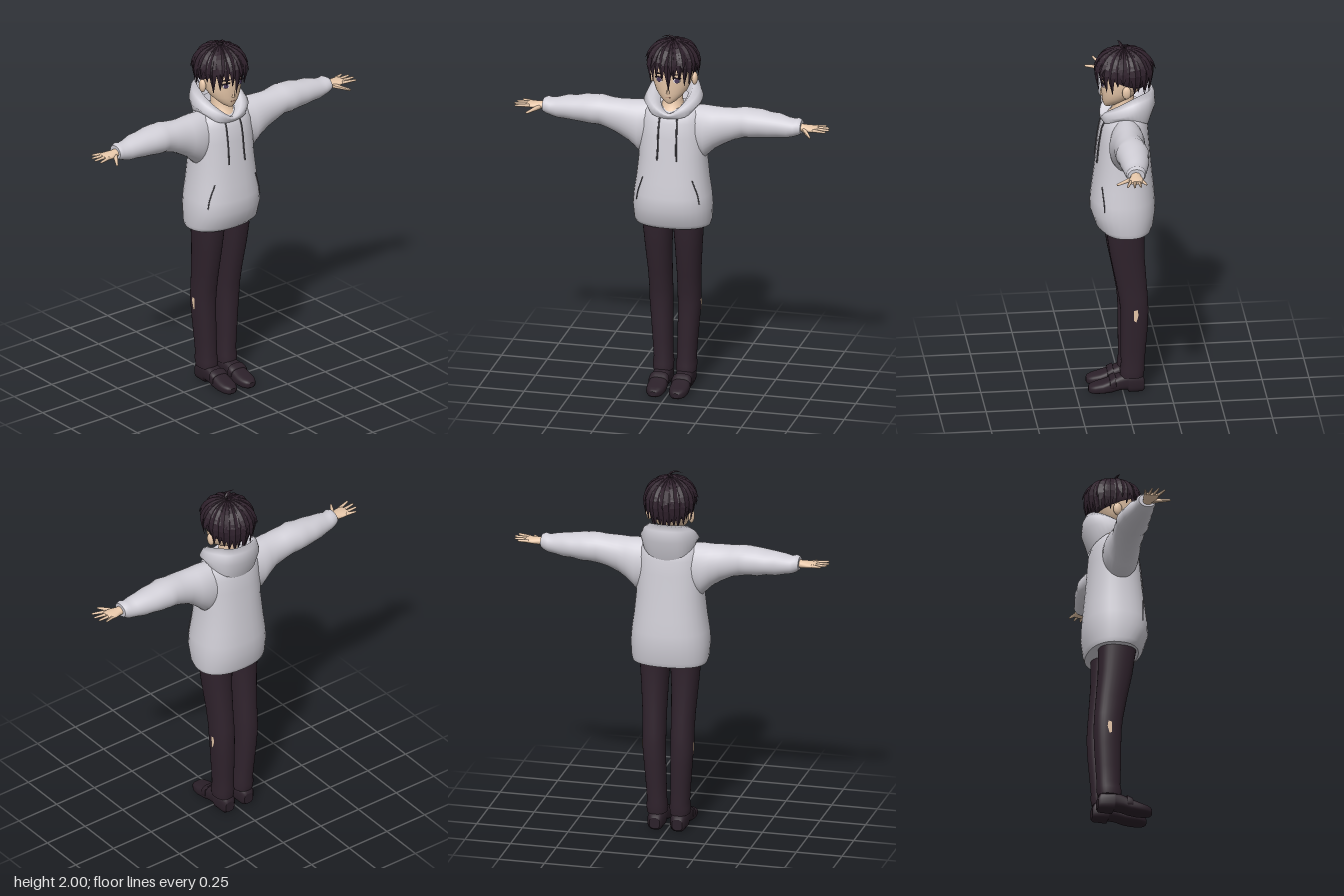
import * as THREE from 'three';

const mat = (name, color, side = THREE.FrontSide) => {
  const m = new THREE.MeshStandardMaterial({ color, side });
  m.name = name;
  return m;
};
const V = (x, y, z) => new THREE.Vector3(x, y, z);
const N = 32;

// Rounded cross-section coordinates; power 2 is an ellipse, higher is boxier
const round = (i, power, n = N) => [Math.cos, Math.sin].map((f) => {
  const c = f((i / n) * Math.PI * 2);
  return Math.sign(c) * Math.abs(c) ** (2 / power);
});
const ring = (fn, power = 2) => Array.from({ length: N }, (_, i) => fn(...round(i, power)));
const mid = (a, b) => (a + b) / 2;
const ringY = ([y, x0, x1, zf, zb], p = 2.3) =>
  ring((a, b) => V(mid(x0, x1) + a * (x1 - x0) / 2, y, mid(zf, zb) + b * (zf - zb) / 2), p);
const ringX = ([x, y0, y1, z0, z1], s = 1, ripple = 0) => ring((a, b) => {
  const k = 1 + ripple * Math.sin(x * 70 + a * 3);
  return V(s * x, mid(y0, y1) + k * b * (y1 - y0) / 2, mid(z0, z1) + k * a * (z1 - z0) / 2);
});
const ringZ = ([z, w, y0, y1], cx) =>
  ring((a, b) => V(cx + a * w, mid(y0, y1) + b * (y1 - y0) / 2, z), 2.8);

// Skin over a list of rings, with caps, always facing outward
function loft(rings, { caps = true, flat = false } = {}) {
  const n = rings[0].length, pts = rings.flat(), idx = [];
  for (let r = 0; r < rings.length - 1; r++) for (let i = 0; i < n; i++) {
    const a = r * n + i, b = r * n + (i + 1) % n;
    idx.push(a, b, a + n, b, b + n, a + n);
  }
  if (caps) [0, rings.length - 1].forEach((r) => {
    const c = rings[r].reduce((s, p) => s.add(p), V(0, 0, 0)).divideScalar(n);
    const base = pts.length;
    pts.push(...rings[r], c);
    for (let i = 0; i < n; i++) {
      const j = (i + 1) % n;
      idx.push(...(r ? [base + i, base + j, base + n] : [base + j, base + i, base + n]));
    }
  });
  let volume = 0;
  for (let i = 0; i < idx.length; i += 3)
    volume += pts[idx[i]].dot(pts[idx[i + 1]].clone().cross(pts[idx[i + 2]]));
  if (volume < 0) idx.reverse();
  let g = new THREE.BufferGeometry().setFromPoints(pts);
  g.setIndex(idx);
  if (flat) g = g.toNonIndexed();
  g.computeVertexNormals();
  return g;
}

// Torso sections: height, half width, front z, back z
const TORSO = [
  [0.94, 0.2, 0.115, -0.155], [0.965, 0.208, 0.14, -0.165], [1.05, 0.213, 0.168, -0.178],
  [1.12, 0.207, 0.165, -0.175], [1.2, 0.195, 0.155, -0.168], [1.33, 0.182, 0.138, -0.155],
  [1.45, 0.18, 0.125, -0.145], [1.53, 0.172, 0.112, -0.138], [1.575, 0.16, 0.09, -0.125],
  [1.6, 0.14, 0.06, -0.11], [1.612, 0.08, 0.02, -0.08],
];
function torsoFront(x, y) {
  const k = Math.max(1, TORSO.findIndex((t) => t[0] >= y));
  const t = (y - TORSO[k - 1][0]) / (TORSO[k][0] - TORSO[k - 1][0]);
  const [w, f, b] = [1, 2, 3].map((j) => THREE.MathUtils.lerp(TORSO[k - 1][j], TORSO[k][j], t));
  return mid(f, b) + (f - b) / 2 * (1 - Math.abs(x / w) ** 2.3) ** (1 / 2.3);
}

export function createModel() {
  const root = new THREE.Group();
  const cloth = mat('hoodieGrey', 0xd0ced6, THREE.DoubleSide);
  const cord = mat('cordGrey', 0x5c5960);
  const skin = mat('skin', 0xf0cfb0, THREE.DoubleSide);
  const hair = mat('hairDark', 0x2f212c, THREE.DoubleSide);
  const pants = mat('trouserDark', 0x30232d);
  const shoe = mat('shoeDark', 0x2b2029);
  const white = mat('eyeWhite', 0xe9e2e4);
  const iris = mat('irisViolet', 0x4a3a5c);
  const lip = mat('lip', 0xb07f6c);
  const add = (name, g, m, parent = root) => {
    const o = new THREE.Mesh(g, m);
    o.name = name;
    parent.add(o);
    return o;
  };
  const bone = (name, a, b, r0, r1, m) => {
    const o = add(name, new THREE.CapsuleGeometry(r0, a.distanceTo(b), 3, 8), m);
    const p = o.geometry.attributes.position;
    for (let i = 0; i < p.count; i++) if (p.getY(i) > 0) p.setXYZ(i, p.getX(i) * r1 / r0, p.getY(i), p.getZ(i) * r1 / r0);
    o.geometry.computeVertexNormals();
    o.position.copy(a).lerp(b, 0.5);
    o.quaternion.setFromUnitVectors(V(0, 1, 0), b.clone().sub(a).normalize());
  };

  // Hoodie body and hood
  add('hoodieBody', loft(TORSO.map(([y, w, f, b]) => ringY([y, -w, w, f, b]))), cloth);
  const hoodRing = (half) => {
    const pts = half.map((p) => V(...p));
    const back = pts.slice(1, -1).reverse().map((p) => V(-p.x, p.y, p.z));
    const c = new THREE.CatmullRomCurve3([...pts, ...back], true);
    return Array.from({ length: 40 }, (_, i) => c.getPoint(i / 40));
  };
  add('hood', loft([
    [[0, 1.555, 0.1], [0.09, 1.57, 0.09], [0.13, 1.6, 0.02], [0.14, 1.6, -0.06], [0.09, 1.56, -0.125], [0, 1.54, -0.14]],
    [[0, 1.572, 0.115], [0.09, 1.6, 0.1], [0.15, 1.625, 0.03], [0.15, 1.65, -0.07], [0.1, 1.65, -0.15], [0, 1.65, -0.18]],
    [[0, 1.58, 0.112], [0.075, 1.617, 0.1], [0.128, 1.658, 0.025], [0.132, 1.695, -0.07], [0.088, 1.71, -0.15], [0, 1.715, -0.175]],
    [[0, 1.585, 0.105], [0.06, 1.625, 0.09], [0.1, 1.675, 0.02], [0.1, 1.72, -0.07], [0.07, 1.742, -0.14], [0, 1.747, -0.16]],
    [[0, 1.58, 0.08], [0.04, 1.6, 0.06], [0.065, 1.63, 0], [0.07, 1.65, -0.05], [0.05, 1.65, -0.09], [0, 1.65, -0.1]],
  ].map(hoodRing), { caps: false }), cloth);

  // Head, neck, nose and mouth
  add('neck', loft([
    [1.56, -0.08, 0.08, 0.09, -0.07], [1.6, -0.062, 0.062, 0.068, -0.065],
    [1.635, -0.05, 0.05, 0.04, -0.065], [1.74, -0.05, 0.05, 0.035, -0.07],
  ].map((r) => ringY(r, 2))), skin);
  add('head', loft([
    [1.638, 0.014, 0.088, 0.055], [1.65, 0.034, 0.096, 0.025], [1.672, 0.058, 0.102, -0.01],
    [1.7, 0.083, 0.106, -0.06], [1.74, 0.101, 0.108, -0.1], [1.8, 0.11, 0.11, -0.125],
    [1.86, 0.11, 0.108, -0.13], [1.91, 0.09, 0.085, -0.11], [1.94, 0.05, 0.05, -0.06],
  ].map(([y, w, f, b]) => ringY([y, -w, w, f, b], 2))), skin);
  const nose = add('nose', new THREE.ConeGeometry(0.011, 0.042, 4), skin);
  nose.position.set(0, 1.722, 0.108);
  nose.rotation.x = 0.2;
  add('mouth', new THREE.BoxGeometry(0.026, 0.003, 0.005), lip).position.set(0, 1.676, 0.102);

  for (const s of [1, -1]) {
    const side = s > 0 ? 'left' : 'right';

    // Eye, brow and ear
    const eye = new THREE.Group();
    eye.name = side + 'Eye';
    eye.position.set(s * 0.048, 1.776, 0.103);
    eye.rotation.y = s * 0.3;
    root.add(eye);
    add('eyeWhite', new THREE.CircleGeometry(0.02, 20), white, eye).scale.y = 0.7;
    const pupil = add('iris', new THREE.CircleGeometry(0.0125, 20), iris, eye);
    pupil.position.z = 0.002;
    pupil.scale.y = 1.1;
    const lash = add('lash', new THREE.BoxGeometry(0.046, 0.006, 0.006), hair, eye);
    lash.position.set(0, 0.014, 0.002);
    lash.rotation.z = -s * 0.12;
    add('brow', new THREE.BoxGeometry(0.045, 0.005, 0.005), hair, eye).position.set(0, 0.035, 0.004);
    const ear = add(side + 'Ear', new THREE.SphereGeometry(1, 14, 10), skin);
    ear.scale.set(0.016, 0.036, 0.024);
    ear.position.set(s * 0.116, 1.755, -0.015);

    // Sleeve with soft folds and cuff
    add(side + 'Sleeve', loft([
      [0.1, 1.33, 1.607, -0.1, 0.07], [0.18, 1.325, 1.61, -0.108, 0.085], [0.23, 1.375, 1.607, -0.1, 0.082],
      [0.28, 1.408, 1.606, -0.09, 0.075], [0.34, 1.435, 1.61, -0.09, 0.072], [0.39, 1.452, 1.615, -0.095, 0.072],
      [0.43, 1.455, 1.615, -0.098, 0.076], [0.48, 1.458, 1.61, -0.094, 0.07], [0.53, 1.465, 1.602, -0.088, 0.064],
      [0.58, 1.468, 1.597, -0.078, 0.06], [0.63, 1.475, 1.585, -0.066, 0.054], [0.665, 1.483, 1.578, -0.058, 0.05],
      [0.685, 1.49, 1.585, -0.054, 0.05], [0.705, 1.502, 1.575, -0.045, 0.042],
    ].map((r) => ringX(r, s, r[0] > 0.25 ? 0.03 : 0))), cloth);

    // Hand
    add(side + 'Palm', loft([
      [0.68, 1.515, 1.56, -0.025, 0.028], [0.72, 1.515, 1.555, -0.025, 0.03], [0.75, 1.518, 1.553, -0.034, 0.043],
      [0.785, 1.523, 1.55, -0.036, 0.045], [0.795, 1.528, 1.545, -0.03, 0.04],
    ].map((r) => ringX(r, s))), skin);
    [[0.038, 0.842, 0.058], [0.014, 0.852, 0.023], [-0.008, 0.846, -0.01], [-0.027, 0.822, -0.04]].forEach(([z, x, tip], i) =>
      bone(side + 'Finger' + (i + 1), V(s * 0.78, 1.538, z), V(s * x, 1.54, tip), 0.0095, 0.006, skin));
    bone(side + 'Thumb', V(s * 0.725, 1.53, 0.025), V(s * 0.77, 1.522, 0.1), 0.013, 0.007, skin);

    // Trouser leg with a torn patch at the knee
    add(side + 'Leg', loft([
      [1.02, 0, 0.165, 0.09, -0.12], [0.94, 0.004, 0.163, 0.09, -0.112], [0.8, 0.012, 0.152, 0.07, -0.113],
      [0.65, 0.016, 0.141, 0.04, -0.124], [0.55, 0.016, 0.138, 0.022, -0.132], [0.48, 0.016, 0.138, 0.014, -0.135],
      [0.38, 0.016, 0.13, 0.012, -0.132], [0.25, 0.014, 0.12, 0.012, -0.122], [0.16, 0.012, 0.114, 0.01, -0.115],
      [0.13, 0.008, 0.119, 0.016, -0.117], [0.09, 0.01, 0.115, 0.015, -0.11],
    ].map(([y, a, b, f, k]) => ringY([y, s * a, s * b, f, k]))), pants);
    const tear = new THREE.Shape([[-0.012, 0.03], [0.008, 0.036], [0.013, 0.004], [0.002, -0.036], [-0.01, -0.03]]
      .map((p) => new THREE.Vector2(...p)));
    const patch = add(side + 'KneePatch', new THREE.ShapeGeometry(tear), skin);
    patch.position.set(s * 0.1395, 0.465, -0.063);
    patch.rotation.set(0, Math.PI / 2, 0);

    // Shoe with heel, arch and strap
    add(side + 'Shoe', loft([
      [-0.114, 0.028, 0.01, 0.07], [-0.1, 0.042, 0, 0.1], [-0.03, 0.047, 0, 0.11], [-0.022, 0.047, 0.016, 0.11],
      [0.02, 0.047, 0.014, 0.1], [0.06, 0.05, 0.004, 0.082], [0.11, 0.052, 0, 0.064], [0.15, 0.046, 0, 0.054],
      [0.174, 0.032, 0.002, 0.046], [0.183, 0.016, 0.008, 0.036],
    ].map((r) => ringZ(r, s * 0.062))), shoe);
    add(side + 'Strap', loft([[0.04, 0.051, 0.02, 0.095], [0.042, 0.053, 0.02, 0.1], [0.07, 0.054, 0.02, 0.086],
      [0.072, 0.051, 0.02, 0.078]].map((r) => ringZ(r, s * 0.062))), shoe);

    // Drawstring and pocket slit lying on the front
    const trace = (pts) => new THREE.CatmullRomCurve3(pts.map(([x, y]) => V(s * x, y, torsoFront(x, y) + 0.003)));
    add(side + 'Drawstring', new THREE.TubeGeometry(trace([[0.045, 1.595], [0.048, 1.55], [0.05, 1.48], [0.05, 1.4], [0.053, 1.33]]), 24, 0.0045, 6), cord);
    add(side + 'PocketSlit', new THREE.TubeGeometry(trace([[0.135, 1.225], [0.15, 1.18], [0.163, 1.14], [0.172, 1.09]]), 12, 0.003, 6), cord);
  }

  // Hair: a cap with tapering locks sweeping down from the crown
  const hairGroup = new THREE.Group();
  hairGroup.name = 'hair';
  root.add(hairGroup);
  const cap = add('hairCap', new THREE.SphereGeometry(1, 24, 14, 0, Math.PI * 2, 0, Math.PI * 0.6).rotateX(-0.45), hair, hairGroup);
  cap.scale.set(0.128, 0.125, 0.14);
  cap.position.set(0, 1.835, -0.015);
  const strand = (name, pts, across, width, thick) => {
    const c = new THREE.CatmullRomCurve3(pts), rings = [];
    for (let i = 0; i <= 8; i++) {
      const t = i / 8, p = c.getPoint(t), out = c.getTangent(t).cross(across).normalize();
      const k = Math.min(1, 0.35 + t * 1.6) * Math.min(1, (1.01 - t) * 2.1);
      rings.push([[1, 0], [0, 1], [-1, 0], [0, -1]].map(([u, v]) =>
        p.clone().addScaledVector(across, u * width * k).addScaledVector(out, v * thick * k)));
    }
    add(name, loft(rings, { flat: true }), hair, hairGroup);
  };
  const lock = (phi, endY, width, lift = 0, start = 0.15) => {
    const end = Math.PI / 2 + (1.835 - endY) / 0.13, pts = [];
    for (let i = 0; i <= 6; i++) {
      const t = i / 6, a = start + (end - start) * t, over = Math.max(0, a - Math.PI / 2);
      const h = (over ? 1 - 0.16 * over : Math.sin(a)) + lift * t * t;
      const y = over ? -over : Math.cos(a);
      pts.push(V(Math.sin(phi) * h * 0.132, 1.835 + y * 0.13, -0.012 + Math.cos(phi) * h * 0.148));
    }
    strand('lock', pts, V(Math.cos(phi), 0, -Math.sin(phi)), width, 0.012);
  };
  // Fringe
  [[0.05, 1.722, 0.026], [-0.2, 1.775, 0.024], [0.28, 1.785, 0.026], [-0.45, 1.79, 0.026], [0.52, 1.775, 0.026],
    [-0.7, 1.755, 0.026], [0.76, 1.745, 0.026], [-0.98, 1.735, 0.026], [1.02, 1.74, 0.026]]
    .forEach(([phi, y, w], i) => lock(phi, y, w, 0.03 + 0.03 * (i % 2)));
  // Sides and back, ending higher above the ears
  for (let i = 0; i < 19; i++) {
    const phi = 1.25 + (i / 18) * (Math.PI * 2 - 2.5), back = Math.max(0, -Math.cos(phi));
    lock(phi, 1.79 - 0.085 * back ** 0.6 + 0.012 * (i % 3), 0.034, (i % 2) * 0.08);
  }
  // Shorter upper layer with lifted tips
  for (let i = 0; i < 15; i++) lock(i * 0.4189 + 0.2, 1.815 + 0.02 * (i % 3), 0.03, 0.1 + 0.05 * (i % 2), 0.1);
  // Stray curl on the crown
  strand('stray', [V(0.015, 1.95, -0.01), V(0.008, 1.978, 0), V(-0.02, 1.993, 0.008), V(-0.06, 1.985, 0.015)], V(0, 0, 1), 0.009, 0.006);
  strand('stray', [V(0, 1.95, -0.01), V(0.006, 1.975, -0.01), V(0.025, 1.978, -0.01)], V(0, 0, 1), 0.009, 0.006);

  return root;
}
